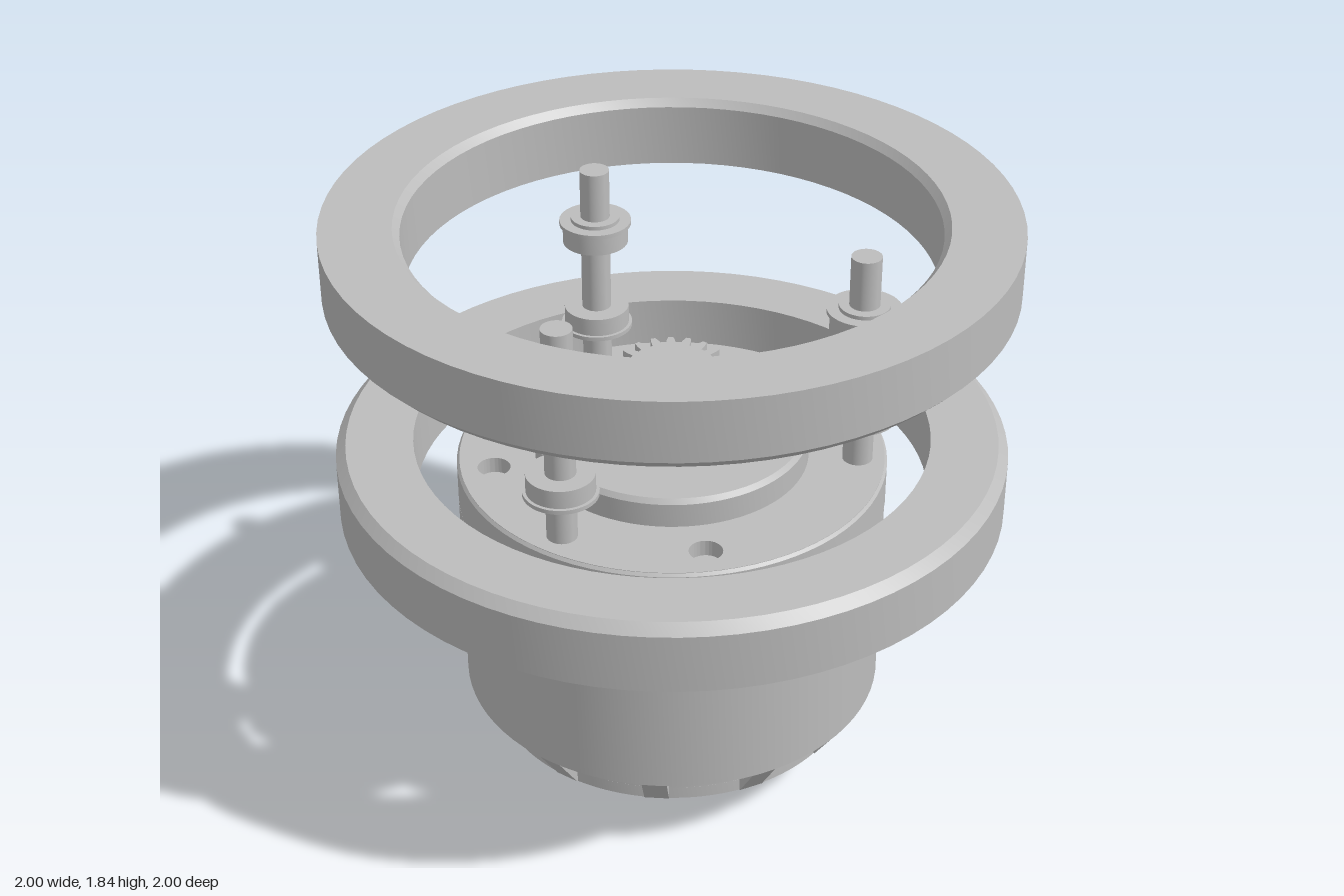
import * as THREE from 'three';
import { toCreasedNormals } from 'three/addons/utils/BufferGeometryUtils.js';

export function createModel() {
  const model = new THREE.Group();
  model.name = 'motorAssembly';
  const metal = new THREE.MeshStandardMaterial({ color: 0xbcbcbc });
  metal.name = 'greyMetal';

  const add = (name, geometry, parent = model) => {
    const mesh = new THREE.Mesh(geometry, metal);
    mesh.name = name;
    parent.add(mesh);
    return mesh;
  };
  // Turned part from [radius, height] pairs, outer side listed upwards
  const turned = (name, pts, parent, segments = 80) =>
    add(name, toCreasedNormals(new THREE.LatheGeometry(
      pts.map(([r, y]) => new THREE.Vector2(r, y)), segments), 0.4), parent);
  // Flat outline raised from height y, lying in the ground plane
  const slab = (name, shape, y, height) => {
    const g = new THREE.ExtrudeGeometry(shape, { depth: height, bevelEnabled: false, curveSegments: 80 });
    g.rotateX(-Math.PI / 2).translate(0, y, 0);
    return add(name, toCreasedNormals(g, 0.4));
  };
  const disc = (r, holes, holeR) => {
    const s = new THREE.Shape().absarc(0, 0, r, 0, Math.PI * 2, false);
    for (const [x, z] of holes)
      s.holes.push(new THREE.Path().absarc(x, -z, holeR, 0, Math.PI * 2, true));
    return s;
  };

  // Two large rings, the lower one a flipped copy of the upper
  const ring = [[0.77, 0], [0.97, 0], [1, 0.03], [1, 0.213], [0.79, 0.213], [0.77, 0.19], [0.77, 0]];
  turned('upperRing', ring.map(([r, y]) => [r, 1.622 + y]));
  turned('lowerRing', ring.map(([r, y]) => [r, 1.128 - y]).reverse());

  // Main drum with waist groove; the undercut at the foot carries ribs
  turned('drum', [[0, 0.2], [0.558, 0.2], [0.558, 0.28], [0.645, 0.28], [0.645, 0.7], [0.615, 0.7],
    [0.615, 0.72], [0.645, 0.72], [0.645, 0.8], [0.55, 0.8], [0.55, 0.915], [0.645, 0.915],
    [0.645, 1.0], [0, 1.0]]);
  slab('basePlate', disc(0.558, [[0.2, -0.05], [-0.2, 0.05]], 0.028), 0.16, 0.04);
  slab('topPlate', disc(0.637, [[0.38, 0.38], [-0.38, 0.38], [0.38, -0.38], [-0.38, -0.38]], 0.049), 1.0, 0.05);
  turned('topPlateRim', [[0.645, 1.0], [0.645, 1.04], [0.636, 1.05]]);
  turned('boss', [[0.41, 1.04], [0.41, 1.125], [0.398, 1.14], [0, 1.14]]);
  turned('lowerShaft', [[0, 0], [0.095, 0], [0.105, 0.012], [0.105, 0.17]], model, 40);

  const ribShape = new THREE.Shape([[0.54, 0.28], [0.54, 0.16], [0.56, 0.16], [0.643, 0.28]]
    .map(([x, y]) => new THREE.Vector2(x, y)));
  const ribGeometry = new THREE.ExtrudeGeometry(ribShape, { depth: 0.075, bevelEnabled: false });
  ribGeometry.translate(0, 0, -0.0375);
  for (let i = 0; i < 12; i++) add('rib', ribGeometry).rotation.y = i * Math.PI / 6;

  // Wall band, left open at the pin socket
  const mid = 0.709, half = 0.28;
  const band = new THREE.Shape();
  band.absarc(0, 0, 0.645, mid + half, mid - half + Math.PI * 2, false);
  band.absarc(0, 0, 0.54, mid - half + Math.PI * 2, mid + half, true);
  slab('socketBand', band, 0.8, 0.115);

  // Pin socket inside the opening
  const socket = new THREE.Group();
  socket.name = 'pinSocket';
  socket.rotation.y = mid;
  model.add(socket);
  const box = (name, w, h, d, x, y, z) =>
    add(name, new THREE.BoxGeometry(w, h, d).translate(x, y, z), socket);
  box('socketBody', 0.05, 0.03, 0.3, 0.57, 0.815, 0);
  box('socketKey', 0.06, 0.02, 0.12, 0.57, 0.89, 0);
  for (let i = 0; i < 10; i++) box('pin', 0.04, 0.02, 0.016, 0.57, 0.84, (i - 4.5) * 0.028);

  // Three-hole connector on the left side
  const connector = new THREE.Group();
  connector.name = 'cableConnector';
  connector.rotation.y = Math.PI / 2 - 0.1;
  model.add(connector);
  const lobes = [-0.122, 0, 0.122];
  const top = [];
  for (let i = 0; i <= 60; i++) {
    const x = -0.177 + 0.354 * i / 60;
    const lobe = Math.max(...lobes.map(c => Math.sqrt(Math.max(0, 0.055 ** 2 - (x - c) ** 2))));
    top.push(new THREE.Vector2(x, Math.abs(x) < 0.122 ? Math.max(lobe, 0.035) : lobe));
  }
  const outline = [...top.slice(1, -1).map(p => new THREE.Vector2(p.x, -p.y)), top[60],
    ...top.slice(1, -1).reverse(), top[0]];
  const lobeShape = new THREE.Shape(outline);
  for (const c of lobes)
    lobeShape.holes.push(new THREE.Path().absarc(c, 0, 0.04, 0, Math.PI * 2, true));
  add('connectorTubes', toCreasedNormals(new THREE.ExtrudeGeometry(lobeShape,
    { depth: 0.07, bevelEnabled: false, curveSegments: 24 }).translate(0, 0.858, 0.66), 0.5), connector);
  add('connectorFlange', new THREE.BoxGeometry(0.44, 0.116, 0.07).translate(0, 0.858, 0.635), connector);

  // Pinion gear and its neck
  const teeth = 20, gear = [];
  for (let i = 0; i < teeth; i++)
    for (const [r, t] of [[0.132, -0.36], [0.155, -0.25], [0.173, -0.13], [0.173, 0.13], [0.155, 0.25], [0.132, 0.36]]) {
      const a = (i + t) / teeth * Math.PI * 2;
      gear.push(new THREE.Vector2(r * Math.cos(a), r * Math.sin(a)));
    }
  slab('pinionGear', new THREE.Shape(gear), 1.175, 0.165);
  turned('gearNeck', [[0.075, 1.13], [0.075, 1.18]], model, 40);

  // Three posts, each with a flanged bearing at both ends
  for (const [x, z] of [[0, 0.55], [0.48, -0.28], [-0.48, -0.28]]) {
    const post = new THREE.Group();
    post.name = 'post';
    post.position.set(x, 0, z);
    model.add(post);
    turned('postShaft', [[0.045, 1.04], [0.045, 1.73], [0, 1.73]], post, 32);
    turned('lowerBearing', [[0.04, 1.185], [0.075, 1.185], [0.075, 1.195], [0.11, 1.195], [0.11, 1.208],
      [0.1, 1.208], [0.1, 1.265], [0.04, 1.265]], post, 40);
    turned('upperBearing', [[0.04, 1.49], [0.1, 1.49], [0.1, 1.55], [0.11, 1.55], [0.11, 1.563],
      [0.075, 1.563], [0.075, 1.575], [0.04, 1.575]], post, 40);
  }
  return model;
}
